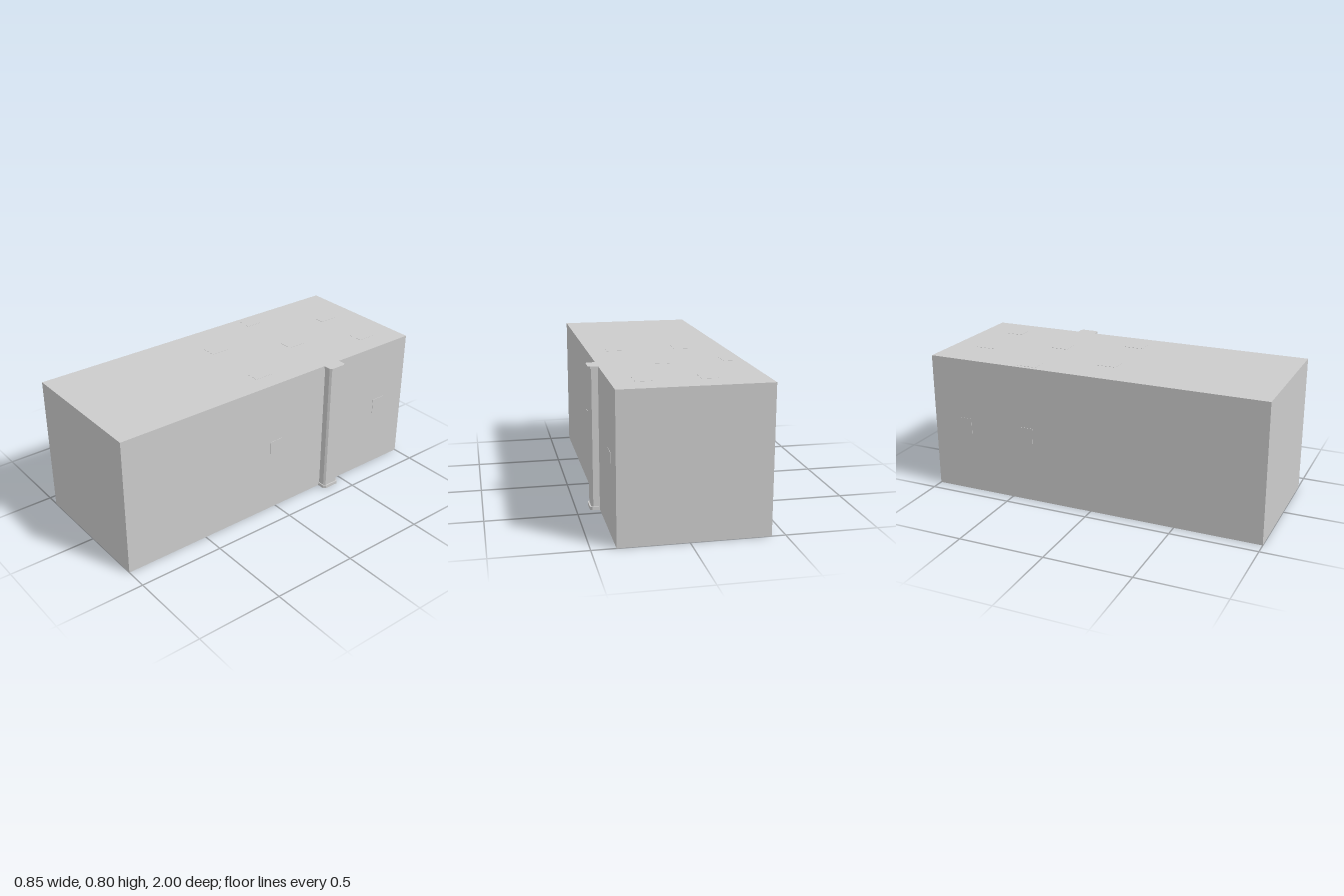
import * as THREE from 'three';

const WALL_R = 0.372, WALL_L = -0.426, HEIGHT = 0.8;

export function createModel() {
  const model = new THREE.Group();
  const material = new THREE.MeshStandardMaterial({ color: 0xcccccc, flatShading: true });

  function add(name, geometry, x, y, z) {
    const mesh = new THREE.Mesh(geometry, material);
    mesh.name = name;
    mesh.position.set(x, y, z);
    model.add(mesh);
  }
  const box = (name, w, h, d, x, y, z) => add(name, new THREE.BoxGeometry(w, h, d), x, y, z);

  // Main block
  box('mainBlock', WALL_R - WALL_L, HEIGHT, 2, (WALL_R + WALL_L) / 2, HEIGHT / 2, 0);

  // Half pillar against the wall: chamfered section, extruded upwards
  function pillarPart(name, depth, half, chamfer, bottom, top) {
    const section = new THREE.Shape([
      [0, -half], [depth - chamfer, -half], [depth, -half + chamfer],
      [depth, half - chamfer], [depth - chamfer, half], [0, half],
    ].map(([x, y]) => new THREE.Vector2(x, y)));
    const geometry = new THREE.ExtrudeGeometry(section, { depth: top - bottom, bevelEnabled: false });
    geometry.rotateX(-Math.PI / 2);
    add(name, geometry, WALL_R, bottom, -0.396);
  }
  pillarPart('pillarBase', 0.054, 0.056, 0.012, 0, 0.018);
  pillarPart('pillarShaft', 0.046, 0.05, 0.01, 0.018, 0.786);
  pillarPart('pillarCap', 0.054, 0.056, 0.012, 0.786, HEIGHT);

  // Thin plates, almost flush with the roof
  const roofPlates = [[-0.355, -0.395], [-0.13, -0.795], [0.205, -0.795], [0.03, -0.395], [-0.175, 0.008], [0.22, 0.008]];
  for (const [x, z] of roofPlates) box('roofPlate', 0.088, 0.004, 0.112, x, HEIGHT - 0.001, z);

  // Thin square plates on the side walls
  const wallPlates = [[WALL_R, 0], [WALL_R, -0.8], [WALL_L, -0.4], [WALL_L, -0.8]];
  for (const [x, z] of wallPlates) box('wallPlate', 0.004, 0.09, 0.086, x, 0.4, z);

  return model;
}
